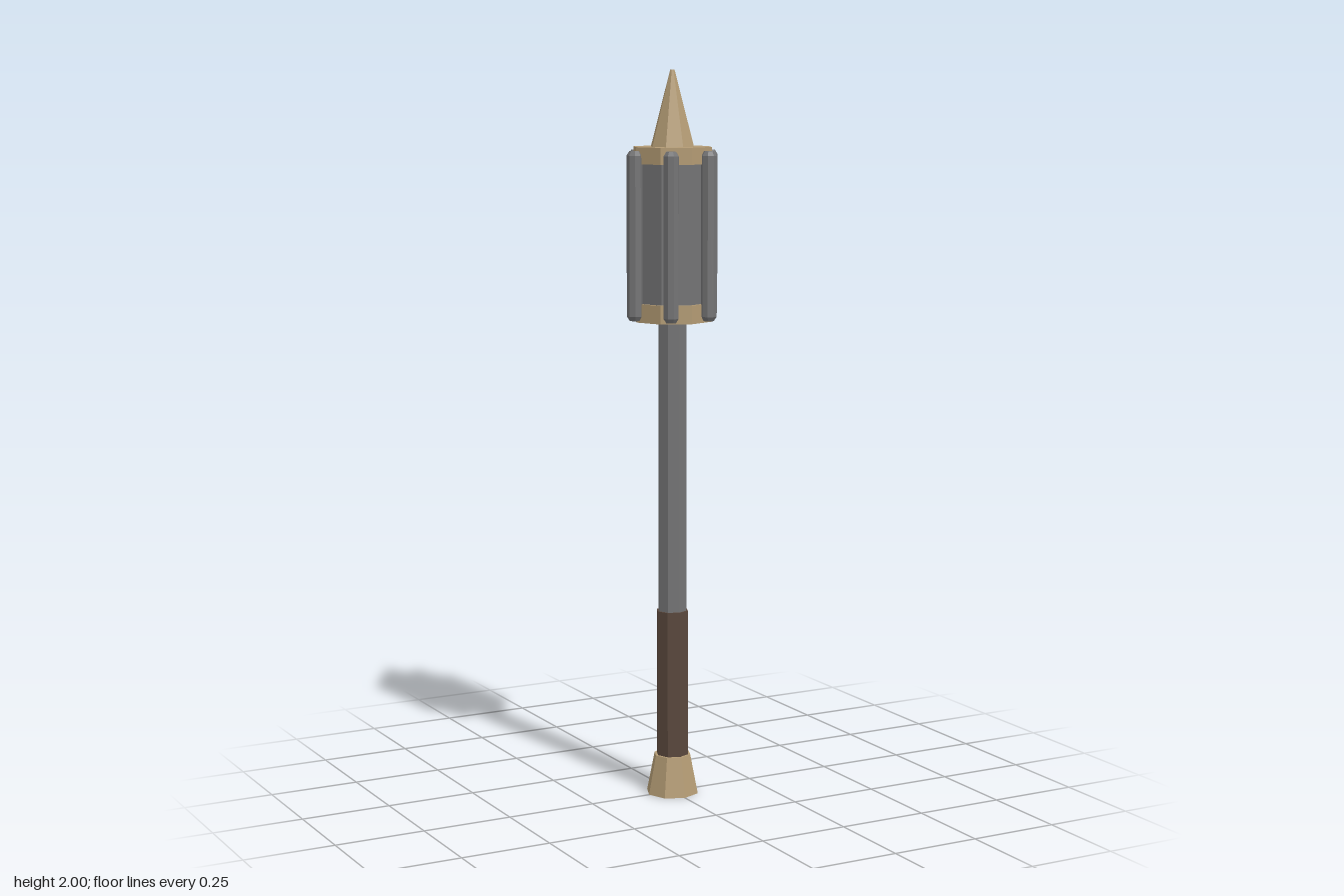
import * as THREE from 'three';

export function createModel() {
  const model = new THREE.Group();
  model.name = 'mace';

  const material = (name, color) => {
    const m = new THREE.MeshStandardMaterial({ color, flatShading: true });
    m.name = name;
    return m;
  };
  const brass = material('brass', 0xb39b74);
  const steel = material('steel', 0x747475);
  const leather = material('leather', 0x5a483d);

  // Eight-sided tapered section standing between two heights
  function section(name, mat, y0, y1, r0, r1) {
    const geo = new THREE.CylinderGeometry(r1, r0, y1 - y0, 8);
    const mesh = new THREE.Mesh(geo, mat);
    mesh.name = name;
    mesh.position.y = (y0 + y1) / 2;
    model.add(mesh);
    return mesh;
  }

  // Handle
  section('pommel', brass, 0, 0.11, 0.074, 0.052);
  section('grip', leather, 0.105, 0.52, 0.045, 0.045);
  section('shaft', steel, 0.5, 1.34, 0.04, 0.04);

  // Head
  section('lowerBand', brass, 1.325, 1.375, 0.11, 0.11);
  section('headCore', steel, 1.37, 1.755, 0.1, 0.1);
  section('upperBand', brass, 1.75, 1.795, 0.11, 0.11);
  section('spike', brass, 1.79, 2, 0.062, 0.006);

  // Six ribs around the head, octagonal rods with chamfered ends
  const profile = [
    [0, 1.33], [0.014, 1.33], [0.0216, 1.342],
    [0.0216, 1.773], [0.014, 1.785], [0, 1.785],
  ].map(([r, y]) => new THREE.Vector2(r, y));
  const ribGeometry = new THREE.LatheGeometry(profile, 8, Math.PI / 8);
  for (let i = 0; i < 6; i++) {
    const a = (i * Math.PI) / 3;
    const rib = new THREE.Mesh(ribGeometry, steel);
    rib.name = `rib${i + 1}`;
    rib.position.set(Math.cos(a) * 0.115, 0, Math.sin(a) * 0.115);
    rib.rotation.y = -a;
    model.add(rib);
  }

  return model;
}
